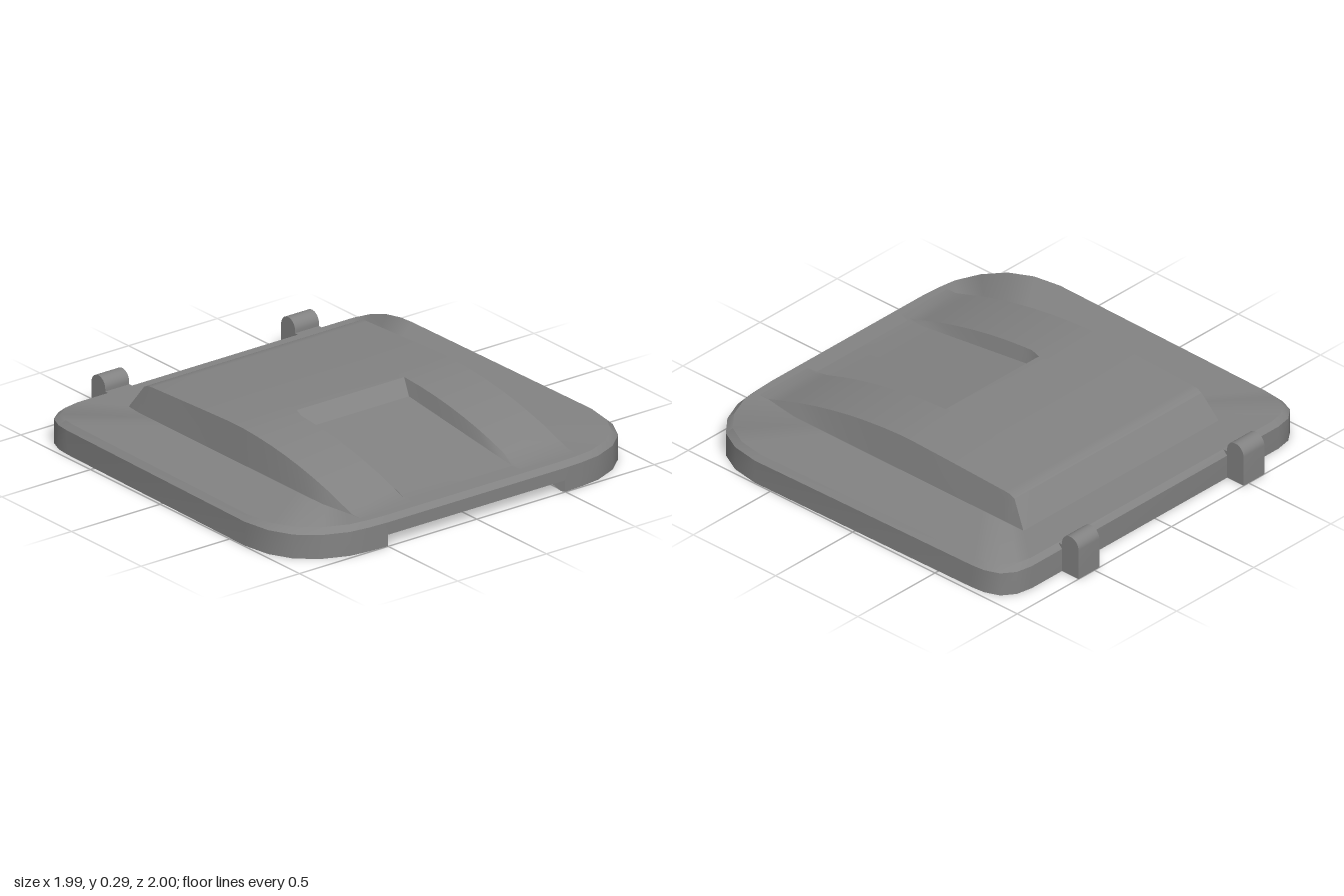
import * as THREE from 'three';
import { toCreasedNormals } from 'three/addons/utils/BufferGeometryUtils.js';

const material = new THREE.MeshStandardMaterial({ color: 0x838383 });

// Skin between rows of points [x, y, z]; closed joins each row's last point to its first.
function skin(rows, closed, crease) {
  const out = [];
  const tri = (...pts) => {
    const [a, b, c] = pts.map((p) => new THREE.Vector3(...p));
    if (b.clone().sub(a).cross(c.clone().sub(a)).length() < 1e-7) return;
    for (const v of [a, b, c]) out.push(v.x, v.y, v.z);
  };
  for (let r = 0; r < rows.length - 1; r++) {
    const a = rows[r], b = rows[r + 1], n = a.length;
    for (let i = 0; i < (closed ? n : n - 1); i++) {
      const k = (i + 1) % n;
      tri(a[i], b[i], a[k]);
      tri(a[k], b[i], b[k]);
    }
  }
  const geometry = new THREE.BufferGeometry();
  geometry.setAttribute('position', new THREE.Float32BufferAttribute(out, 3));
  return toCreasedNormals(geometry, crease);
}

function addMesh(parent, name, geometry) {
  const mesh = new THREE.Mesh(geometry, material);
  mesh.name = name;
  parent.add(mesh);
  return mesh;
}

// Hollow plate: tight rear corners, wide front corners, finger notch in the front rim
function lidPlate() {
  const half = [
    [0.8, -0.9], [0.88, -0.885], [0.94, -0.84], [0.968, -0.77], [0.975, -0.7],
    [0.995, 0.6], [0.972, 0.74], [0.915, 0.85], [0.82, 0.93], [0.7, 0.98], [0.6, 0.993],
    [0.5, 0.998], [0.5, 0.998, true],
  ];
  const outline = [...half, ...half.map(([x, z, notch]) => [-x, z, notch]).reverse()];
  const ring = (inset, y, notchY = y, rearInset = inset) => outline.map(([x, z, notch]) => {
    const scale = 1 - (z < 0 ? rearInset : inset);
    return [x * scale, notch ? notchY : y, 0.05 + (z - 0.05) * scale];
  });
  return skin([
    // Underside: steep inner wall at the rear, softly sloping one at the front
    ring(1, 0.06), ring(0.2, 0.06), ring(0.11, 0.06, 0.06, 0.022),
    ring(0.02, 0, 0.055), ring(0, 0, 0.055),
    // Outer wall, bevel and top
    ring(0, 0.115), ring(0.025, 0.14), ring(1, 0.14),
  ], true, 0.7);
}

// Raised hump that fades into the plate in front, with a sloping channel cut into it
function hump() {
  const profile = [ // z, top height
    [-0.7, 0.138], [-0.615, 0.258], [-0.59, 0.27], [-0.56, 0.273], [-0.2, 0.288], [0, 0.295],
    [0.08, 0.295], [0.14, 0.292], [0.2, 0.288], [0.3, 0.278], [0.4, 0.264], [0.5, 0.246],
    [0.6, 0.224], [0.7, 0.198], [0.8, 0.166], [0.88, 0.1415], [0.95, 0.1395],
  ];
  const rows = profile.map(([z, y]) => {
    const base = 0.61 + (z < 0 ? 0.028 : THREE.MathUtils.clamp((y - 0.14) * 0.5, 0, 0.028));
    const top = z < -0.65 ? 0.628 : 0.607;
    const floor = z > 0.1 ? Math.min(y, Math.max(0.1395, 0.14 + (0.88 - z) * 0.118)) : y;
    const side = [[base, 0.135], [top, y], [0.313, y], [0.293, floor]];
    return [...side.map(([x, h]) => [-x, h, z]), ...side.map(([x, h]) => [x, h, z]).reverse()];
  });
  return skin(rows, false, 0.45);
}

// Rounded-top hinge lug with a short neck into the rim
function hingeLug() {
  const shape = new THREE.Shape();
  shape.moveTo(0.87, 0);
  shape.lineTo(1, 0);
  shape.lineTo(1, 0.15);
  shape.absarc(0.95, 0.15, 0.05, 0, Math.PI, false);
  shape.lineTo(0.9, 0.138);
  shape.lineTo(0.87, 0.138);
  shape.closePath();
  const geometry = new THREE.ExtrudeGeometry(shape, { depth: 0.135, bevelEnabled: false, curveSegments: 8 });
  geometry.translate(0, 0, -0.0675).rotateY(Math.PI / 2);
  return toCreasedNormals(geometry, 0.5);
}

export function createModel() {
  const group = new THREE.Group();
  group.name = 'binLid';
  addMesh(group, 'lidPlate', lidPlate());
  addMesh(group, 'raisedHump', hump());
  for (const [name, x] of [['leftHinge', 0.535], ['rightHinge', -0.535]]) {
    addMesh(group, name, hingeLug()).position.x = x;
  }
  return group;
}
